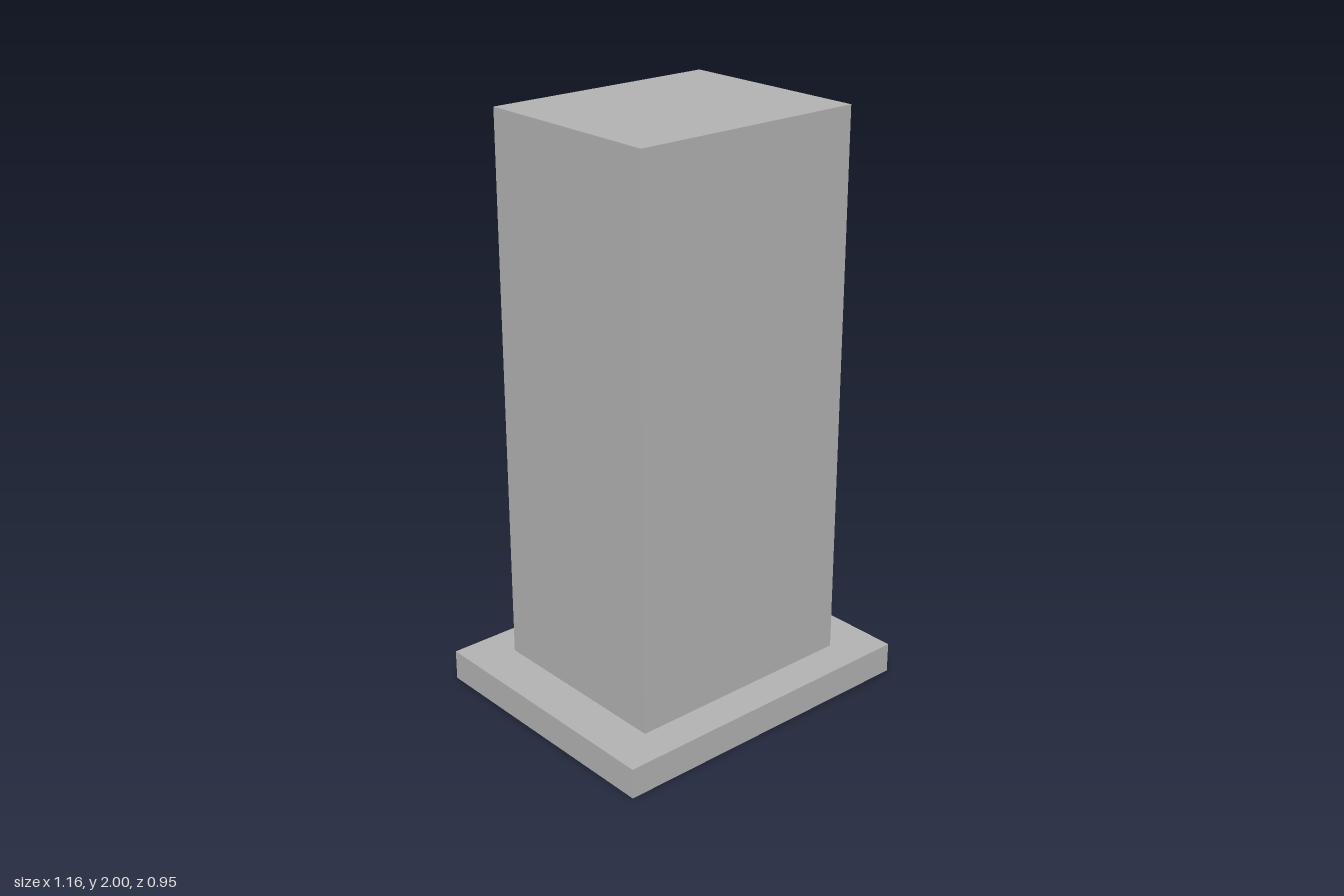
import * as THREE from 'three';

export function createModel() {
  const model = new THREE.Group();
  const grey = new THREE.MeshStandardMaterial({ color: 0xb2b2b2 });
  grey.name = 'grey';

  // Adds a named box spanning the given x, y and z ranges
  function addBox(name, [x0, x1], [y0, y1], [z0, z1]) {
    const mesh = new THREE.Mesh(new THREE.BoxGeometry(x1 - x0, y1 - y0, z1 - z0), grey);
    mesh.position.set((x0 + x1) / 2, (y0 + y1) / 2, (z0 + z1) / 2);
    mesh.name = name;
    model.add(mesh);
  }

  // Flat plinth, tall column and the raised strip on its left side
  addBox('basePlate', [-0.579, 0.579], [0, 0.105], [-0.474, 0.474]);
  addBox('column', [-0.421, 0.421], [0.105, 2], [-0.347, 0.347]);
  addBox('sideStrip', [0.421, 0.451], [0.53, 1.685], [-0.031, 0.031]);

  return model;
}
